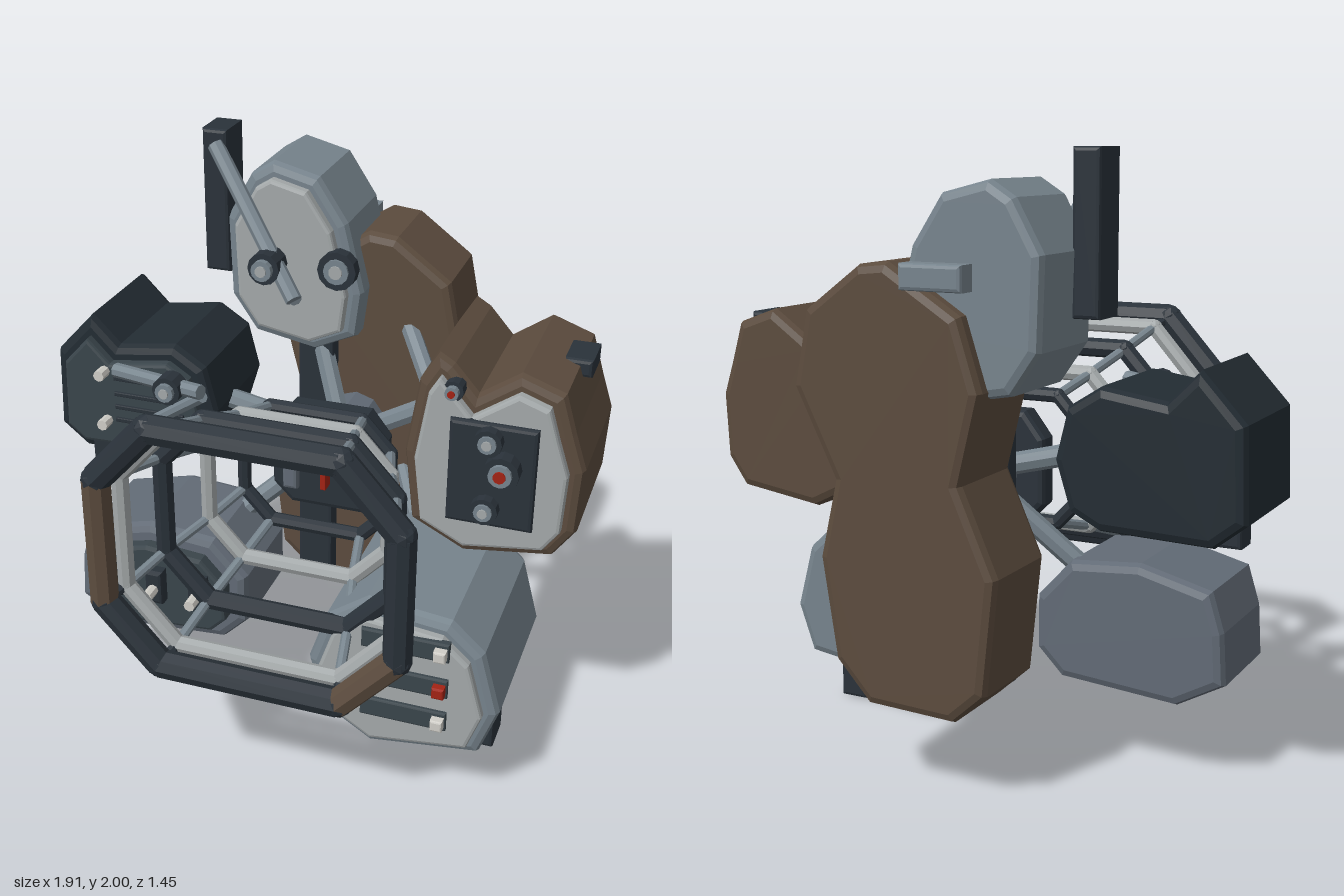
import * as THREE from 'three';

const mat = (color) => new THREE.MeshStandardMaterial({ color, flatShading: true });
const BROWN = mat(0x5c4c3e), DARK = mat(0x2a323a), STEEL = mat(0x77848d), SLATE = mat(0x626b76),
  NIGHT = mat(0x232c33), LIGHT = mat(0xa4a9aa), PANEL = mat(0x3a454b), PALE = mat(0xd0cec8), RED = mat(0xa32314);
const V = (a) => new THREE.Vector3(...a);

export function createModel() {
  const model = new THREE.Group();

  function add(name, geometry, material) {
    const mesh = new THREE.Mesh(geometry, material);
    mesh.name = name;
    model.add(mesh);
    return mesh;
  }

  // Bevelled slab between z0 and z1 whose outline is pulled in by inset
  function slab(name, outline, z0, z1, material, bevel = 0.03, inset = 0) {
    const geo = new THREE.ExtrudeGeometry(new THREE.Shape(outline.map((p) => new THREE.Vector2(...p))), {
      depth: z1 - z0 - 2 * bevel, bevelThickness: bevel, bevelSize: bevel,
      bevelOffset: -bevel - inset, bevelSegments: 2,
    });
    geo.translate(0, 0, z0 + bevel);
    return add(name, geo, material);
  }

  // Box with chamfered edges, given by its two extreme corners
  function block(name, a, b, material, bevel = 0.012) {
    return slab(name, [[a[0], a[1]], [b[0], a[1]], [b[0], b[1]], [a[0], b[1]]], a[2], b[2], material, bevel);
  }

  function rod(name, a, b, radius, material, sides = 8) {
    const p = V(a), q = V(b), d = q.clone().sub(p);
    const mesh = add(name, new THREE.CylinderGeometry(radius, radius, d.length(), sides), material);
    mesh.position.copy(p).add(q).multiplyScalar(0.5);
    mesh.quaternion.setFromUnitVectors(new THREE.Vector3(0, 1, 0), d.normalize());
    return mesh;
  }

  // Stepped round knob facing forward
  function knob(name, x, y, z0, z1, r, tip) {
    const m = z0 + (z1 - z0) * 0.75;
    rod(name, [x, y, z0], [x, y, m], r, DARK, 12);
    rod(name + 'Collar', [x, y, m], [x, y, z1 - 0.006], r * 0.65, STEEL, 12);
    rod(name + 'Tip', [x, y, z1 - 0.01], [x, y, z1], r * 0.35, tip, 10);
  }

  // Tall rear spine
  slab('spinePod', [[0.08, 1.67], [0.18, 1.66], [0.37, 1.52], [0.42, 1.28], [0.28, 1.0], [0.34, 0.75], [0.29, 0.42],
    [0.17, 0.29], [-0.13, 0.28], [-0.24, 0.38], [-0.28, 0.75], [-0.16, 1.02], [-0.23, 1.3], [-0.16, 1.52]],
  -0.72, -0.38, BROWN);
  block('spineColumn', [-0.15, 0.3, -0.39], [-0.02, 1.35, -0.32], DARK);

  // Upper pod with its plate, knobs, hinged arm and upright bar
  const upper = [[-0.23, 1.91], [-0.07, 1.87], [0.03, 1.72], [0.09, 1.48], [0.07, 1.32], [-0.08, 1.25],
    [-0.3, 1.29], [-0.39, 1.42], [-0.4, 1.7], [-0.31, 1.86]];
  slab('upperPod', upper, -0.66, -0.29, STEEL);
  slab('upperPlate', upper, -0.3, -0.25, LIGHT, 0.012, 0.045);
  block('upperRearTab', [-0.18, 1.59, -0.73], [0.03, 1.67, -0.64], STEEL);
  block('upperBar', [-0.48, 1.5, -0.44], [-0.39, 2, -0.29], DARK);
  rod('upperArm', [-0.43, 1.95, -0.29], [-0.07, 1.53, -0.06], 0.028, STEEL);
  rod('upperArmLink', [-0.07, 1.53, -0.07], [-0.22, 1.57, -0.27], 0.024, STEEL);
  knob('upperArmKnob', -0.18, 1.62, -0.15, -0.04, 0.055, LIGHT);
  knob('upperPlateKnob', 0.02, 1.58, -0.27, -0.21, 0.068, LIGHT);

  // Left brown pod with control panel
  const left = [[0.47, 1.5], [0.52, 1.47], [0.6, 1.38], [0.73, 1.47], [0.87, 1.42], [0.91, 1.29], [0.95, 1.17],
    [0.94, 0.95], [0.87, 0.85], [0.58, 0.81], [0.4, 0.9], [0.37, 1.15], [0.41, 1.4]];
  slab('leftPod', left, -0.4, 0.13, BROWN);
  slab('leftPlate', left, 0.12, 0.17, LIGHT, 0.012, 0.045);
  block('leftPanel', [0.53, 0.96, 0.15], [0.81, 1.32, 0.19], DARK);
  knob('leftKnobTop', 0.66, 1.27, 0.18, 0.24, 0.046, LIGHT);
  knob('leftKnobMiddle', 0.71, 1.18, 0.18, 0.26, 0.058, RED);
  knob('leftKnobBottom', 0.66, 1.03, 0.18, 0.24, 0.046, LIGHT);
  knob('leftLever', 0.53, 1.4, 0.08, 0.19, 0.034, RED);
  block('leftSideTab', [0.82, 1.38, -0.27], [0.91, 1.44, -0.11], DARK);

  // Lower left pod with sliders and foot
  const lowerLeft = [[0.34, 0.74], [0.62, 0.71], [0.73, 0.61], [0.79, 0.39], [0.73, 0.22], [0.36, 0.17],
    [0.2, 0.27], [0.14, 0.46], [0.2, 0.64]];
  slab('lowerLeftPod', lowerLeft, -0.23, 0.4, STEEL);
  slab('lowerLeftPlate', lowerLeft, 0.39, 0.435, LIGHT, 0.012, 0.045);
  [0.63, 0.49, 0.36].forEach((y, i) => {
    block('sliderSlot', [0.34, y - 0.035, 0.42], [0.63, y + 0.035, 0.45], PANEL, 0.006);
    block('sliderGrip', [0.585, y - 0.02, 0.44], [0.625, y + 0.02, 0.48], i === 1 ? RED : PALE, 0.006);
  });
  block('foot', [0.62, 0, -0.06], [0.72, 0.29, 0.09], DARK);
  rod('footStrut', [0.5, 0.21, 0.02], [0.64, 0.09, 0.02], 0.02, STEEL);

  // Lower right pod with push buttons
  const lowerRight = [[-0.77, 0.65], [-0.53, 0.71], [-0.29, 0.69], [-0.17, 0.56], [-0.17, 0.38], [-0.26, 0.29],
    [-0.66, 0.26], [-0.82, 0.35], [-0.81, 0.52]];
  slab('lowerRightPod', lowerRight, -0.23, 0.17, SLATE);
  slab('lowerRightPlate', lowerRight, 0.16, 0.22, PANEL, 0.012, 0.06);
  for (const x of [-0.64, -0.48, -0.32]) {
    block('buttonBase', [x - 0.032, 0.45, 0.2], [x + 0.032, 0.58, 0.265], DARK);
    rod('button', [x, 0.51, 0.25], [x, 0.51, 0.32], 0.02, PALE);
  }

  // Right dark pod with vents, pins and a jointed arm
  const right = [[-0.81, 1.38], [-0.71, 1.28], [-0.5, 1.31], [-0.39, 1.24], [-0.35, 1.08], [-0.4, 0.92],
    [-0.5, 0.87], [-0.86, 0.86], [-0.96, 0.94], [-0.95, 1.23]];
  slab('rightPod', right, -0.48, -0.03, NIGHT);
  slab('rightPlate', right, -0.04, 0.01, PANEL, 0.012, 0.05);
  for (const y of [1.18, 1.12, 1.07, 1.02])
    block('vent', [-0.71, y - 0.008, 0], [-0.45, y + 0.008, 0.02], DARK, 0.003);
  for (const y of [1.2, 1.01]) rod('pin', [-0.745, y, 0], [-0.745, y, 0.06], 0.02, PALE);
  block('rightLowerTab', [-0.83, 0.77, -0.13], [-0.74, 0.92, -0.02], DARK);
  rod('rightArm', [-0.7, 1.21, 0.01], [-0.33, 1.24, 0.13], 0.026, STEEL);
  rod('rightArmLink', [-0.33, 1.22, 0.12], [-0.55, 1.05, 0.02], 0.022, STEEL);
  knob('rightArmKnob', -0.45, 1.23, 0.08, 0.17, 0.05, LIGHT);

  // Tapering cage: eight-sided frames joined by rails
  const corners = (w, h, z) => {
    const c = 0.38 * w, d = 0.48 * h;
    return [[w - c, h], [w, h - d], [w, d - h], [w - c, -h], [c - w, -h], [-w, d - h], [-w, h - d], [c - w, h]]
      .map(([x, y]) => [0.04 + x, 0.96 + y, z]);
  };
  const frames = [ // half width, half height, z, bar radius
    [0.485, 0.425, 0.675, 0.047, DARK], [0.445, 0.395, 0.595, 0.029, LIGHT], [0.39, 0.335, 0.405, 0.034, DARK],
    [0.315, 0.27, 0.215, 0.028, LIGHT], [0.26, 0.22, 0.03, 0.025, DARK]];
  const loops = frames.map(([w, h, z]) => corners(w, h, z));
  loops.forEach((loop, f) => {
    const [, , , r, m] = frames[f];
    loop.forEach((p, i) => {
      const brown = f === 0 && (i === 2 || i === 5);
      rod('cageBar', p, loop[(i + 1) % 8], r, brown ? BROWN : m);
      add('cageJoint', new THREE.IcosahedronGeometry(r, 1), m).position.set(...p);
      if (f) rod('cageRail', p, loops[f - 1][i], 0.017, f === 1 ? DARK : STEEL);
    });
  });

  // Central unit with grilles and a glowing slit
  slab('corePanel', [[-0.08, 1.15], [0.19, 1.15], [0.26, 1.06], [0.25, 0.84], [0.19, 0.77], [-0.08, 0.77],
    [-0.15, 0.84], [-0.15, 1.06]], -0.14, -0.05, DARK, 0.02);
  for (const x of [-0.075, 0.195]) block('coreGrille', [x - 0.027, 0.84, -0.07], [x + 0.027, 1.08, -0.02], SLATE);
  block('coreSlit', [0.043, 0.87, -0.06], [0.063, 1.05, 0], RED, 0.003);
  rod('coreHub', [0.05, 0.96, -0.4], [0.05, 0.96, -0.13], 0.11, SLATE, 10);

  // Struts from the centre out to every pod
  const ends = [[-0.12, 1.38, -0.4], [0.45, 1.2, -0.2], [0.36, 0.6, -0.15], [-0.35, 0.6, -0.12], [-0.45, 1.08, -0.2]];
  for (const e of ends) rod('strut', [0.05, 0.96, -0.24], e, 0.036, STEEL);
  rod('upperBrace', [0.22, 1.35, -0.42], [0.42, 1.15, -0.15], 0.032, STEEL);
  rod('lowerBrace', [0.22, 0.8, -0.42], [0.35, 0.66, -0.2], 0.032, STEEL);

  return model;
}
